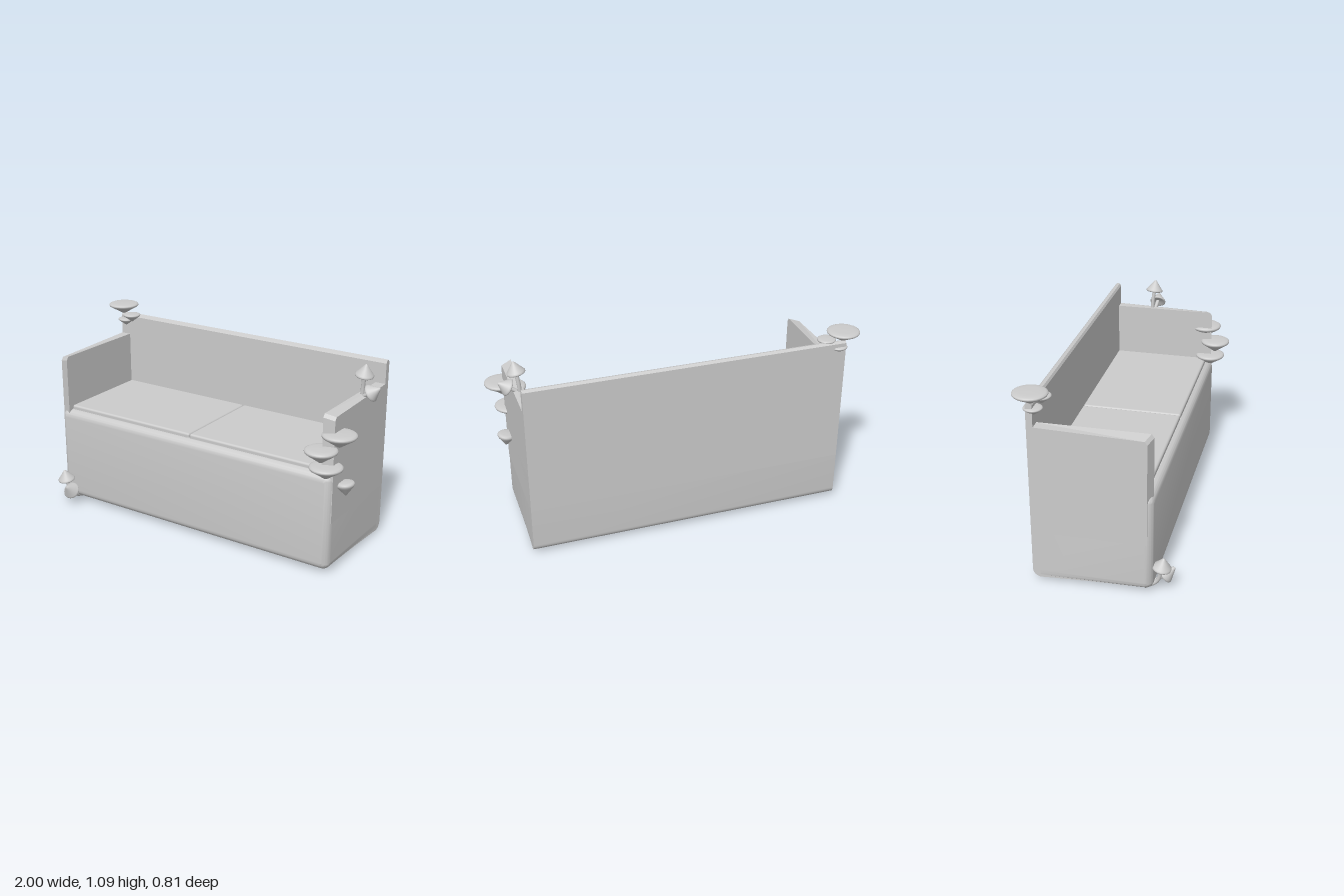
import * as THREE from 'three';
import { RoundedBoxGeometry } from 'three/addons/geometries/RoundedBoxGeometry.js';
import { mergeVertices, toCreasedNormals } from 'three/addons/utils/BufferGeometryUtils.js';

const material = new THREE.MeshStandardMaterial({ color: 0xcccccc, side: THREE.DoubleSide });
const V = (x, y, z) => new THREE.Vector3(x, y, z);
const UP = V(0, 1, 0);

export function createModel() {
  const model = new THREE.Group();

  const add = (name, geometry, parent = model) => {
    const mesh = new THREE.Mesh(geometry, material);
    mesh.name = name;
    parent.add(mesh);
    return mesh;
  };

  // Rounded box given by its minimum and maximum corners
  const block = (name, min, max, radius, segments = 2) => {
    const size = max.clone().sub(min);
    const mesh = add(name, new RoundedBoxGeometry(size.x, size.y, size.z, segments, radius));
    mesh.position.copy(min).add(max).multiplyScalar(0.5);
    return mesh;
  };

  // Base: soft front and bottom edges, square corners at the back
  const base = block('base', V(-0.92, 0.025, -0.34), V(0.89, 0.578, 0.302), 0.045, 5);
  const p = base.geometry.attributes.position;
  const halfX = 0.905, halfZ = 0.321, halfY = 0.2765;
  for (let i = 0; i < p.count; i++) {
    if (p.getZ(i) > 0) continue;
    if (Math.abs(p.getX(i)) > halfX - 0.046) p.setX(i, Math.sign(p.getX(i)) * halfX);
    if (p.getY(i) > halfY - 0.046) p.setZ(i, p.getZ(i) < -halfZ + 0.046 ? -halfZ : p.getZ(i));
  }
  base.geometry.deleteAttribute('normal');
  base.geometry.deleteAttribute('uv');
  base.geometry = toCreasedNormals(mergeVertices(base.geometry, 1e-5), 0.7);

  // Backrest: upright panel with a bevelled top, extruded across the width
  const panel = new THREE.Shape([
    [-0.34, 0.3], [-0.305, 0.3], [-0.305, 1.02], [-0.313, 1.033],
    [-0.328, 1.037], [-0.34, 1.025],
  ].map(([z, y]) => new THREE.Vector2(-z, y)));
  const back = new THREE.ExtrudeGeometry(panel, { depth: 1.81, bevelEnabled: false });
  back.rotateY(Math.PI / 2);
  back.translate(-0.92, 0, 0);
  add('backrest', back);

  // Arms: side panels with the front top corner and outer front edge eased
  const arm = (name, inner, outer) => {
    const shape = new THREE.Shape([
      [-0.34, 0.3], [0.294, 0.3], [0.294, 0.888], [0.28, 0.907], [-0.34, 0.905],
    ].map(([z, y]) => new THREE.Vector2(-z, y)));
    const width = Math.abs(outer - inner);
    const geometry = new THREE.ExtrudeGeometry(shape, { depth: width, bevelEnabled: false });
    geometry.rotateY(Math.PI / 2);
    geometry.translate(Math.min(inner, outer), 0, 0);
    const a = geometry.attributes.position;
    for (let i = 0; i < a.count; i++) {
      const isOuter = Math.abs(a.getX(i) - outer) < 1e-4;
      if (isOuter && a.getZ(i) > 0.2) {
        if (a.getY(i) > 0.8) a.setY(i, a.getY(i) - 0.016);
        a.setZ(i, a.getZ(i) - 0.022);
      }
    }
    geometry.computeVertexNormals();
    add(name, geometry);
  };
  arm('leftArm', 0.833, 0.89);
  arm('rightArm', -0.86, -0.92);

  // Two thin seat cushions meeting in a narrow groove
  block('rightCushion', V(-0.862, 0.56, -0.31), V(-0.016, 0.602, 0.262), 0.012);
  block('leftCushion', V(-0.014, 0.56, -0.31), V(0.836, 0.602, 0.262), 0.012);

  // Shelf fungus: shallow domed top over a tapering underside
  const shelf = (name, x, z, top, bottom, r, leanX = 0, leanZ = 0) => {
    const h = top - bottom;
    const profile = [
      [0, 0], [0.12, 0.06], [0.45, 0.32], [0.8, 0.58], [0.96, 0.71], [1, 0.8],
      [0.98, 0.88], [0.88, 0.95], [0.6, 0.985], [0, 1],
    ].map(([u, v]) => new THREE.Vector2(u * r, (v - 0.5) * h));
    const mesh = add(name, new THREE.LatheGeometry(profile, 28));
    mesh.position.set(x, (top + bottom) / 2, z);
    mesh.rotation.set(leanX, 0, leanZ);
  };
  [
    [0.905, 0.247, 0.807, 0.725, 0.093],
    [0.84, 0.318, 0.733, 0.65, 0.088],
    [0.855, 0.285, 0.632, 0.553, 0.09],
    [0.912, 0.168, 0.51, 0.43, 0.052, 0, 0.12],
    [-0.909, -0.314, 1.098, 1.03, 0.091],
    [-0.825, -0.285, 1.046, 0.995, 0.052],
    [-0.888, -0.31, 1.005, 0.958, 0.05],
  ].forEach((s, i) => shelf(`shelfFungus${i + 1}`, ...s));

  // Pointed mushroom: conical cap on a curved stem
  const mushroom = (name, root, bend, rim, apex, r) => {
    const group = new THREE.Group();
    group.name = name;
    model.add(group);
    const axis = apex.clone().sub(rim);
    const h = axis.length();
    const profile = [
      [0, 0.08], [0.6, 0.02], [0.88, -0.06], [0.98, -0.02], [1, 0.06],
      [0.92, 0.16], [0.6, 0.46], [0.25, 0.82], [0.1, 0.96], [0, 1],
    ].map(([u, v]) => new THREE.Vector2(u * r, v * h));
    const cap = add('cap', new THREE.LatheGeometry(profile, 24), group);
    cap.position.copy(rim);
    cap.quaternion.setFromUnitVectors(UP, axis.normalize());
    const path = new THREE.CatmullRomCurve3([root, bend, rim.clone().addScaledVector(axis, 0.015)]);
    add('stem', new THREE.TubeGeometry(path, 12, 0.011, 10), group);
  };
  mushroom('tallFootMushroom', V(-0.866, 0.016, 0.25), V(-0.866, 0.06, 0.315),
    V(-0.87, 0.145, 0.34), V(-0.874, 0.208, 0.352), 0.051);
  mushroom('smallFootMushroom', V(-0.835, 0.02, 0.25), V(-0.832, 0.04, 0.3),
    V(-0.828, 0.082, 0.348), V(-0.822, 0.126, 0.402), 0.05);
  mushroom('tallArmMushroom', V(0.856, 0.89, -0.092), V(0.86, 0.95, -0.09),
    V(0.868, 1.012, -0.083), V(0.88, 1.078, -0.077), 0.051);
  mushroom('smallArmMushroom', V(0.86, 0.89, -0.08), V(0.885, 0.908, -0.074),
    V(0.914, 0.925, -0.07), V(0.968, 0.962, -0.072), 0.048);

  return model;
}
